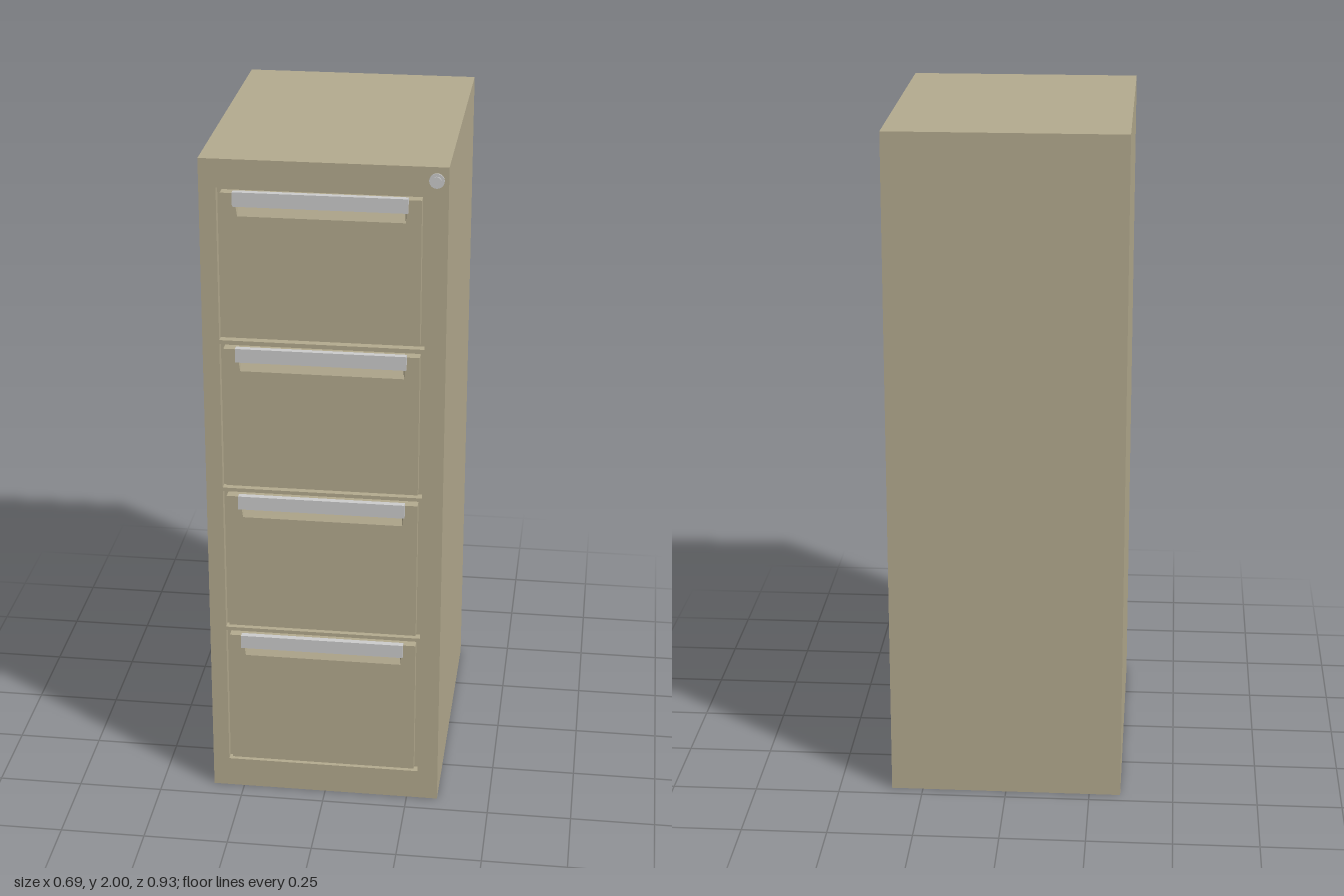
import * as THREE from 'three';

const paint = new THREE.MeshStandardMaterial({ color: 0xb3aa8e, flatShading: true });
const pocketPaint = new THREE.MeshStandardMaterial({ color: 0xb3aa8e, flatShading: true, side: THREE.DoubleSide });
const metal = new THREE.MeshStandardMaterial({ color: 0xcccccc });

const HALF_W = 0.343, BACK = -0.465, FACE = 0.443, PANEL = 0.449, INNER = 0.418;
const DRAWERS = 4, PITCH = 0.459, FIRST_TOP = 1.918;
const MID = -0.006; // drawers sit slightly off centre

function mesh(name, geometry, material, x = 0, y = 0, z = 0) {
  const m = new THREE.Mesh(geometry, material);
  m.name = name;
  m.position.set(x, y, z);
  return m;
}

function polygon(points, Type = THREE.Shape) {
  return new Type(points.map(([x, y]) => new THREE.Vector2(x, y)));
}

const rect = (x0, x1, y0, y1) => [[x0, y0], [x1, y0], [x1, y1], [x0, y1]];

function plate(outline, holes, depth) {
  const shape = polygon(outline);
  holes.forEach((h) => shape.holes.push(polygon(h.slice().reverse(), THREE.Path)));
  return new THREE.ExtrudeGeometry(shape, { depth, bevelEnabled: false });
}

// Finger pocket: a sloping floor, two tapered ends and a ceiling
function pocketGeometry([bl, br, tr, tl], depth) {
  const deepL = [tl[0] + 0.011, tl[1], -depth], deepR = [tr[0] - 0.011, tr[1], -depth];
  const corners = [[...bl, 0], [...br, 0], [...tr, 0], [...tl, 0], deepL, deepR];
  const g = new THREE.BufferGeometry();
  g.setAttribute('position', new THREE.Float32BufferAttribute(corners.flat(), 3));
  g.setIndex([0, 1, 5, 0, 5, 4, 0, 4, 3, 1, 2, 5, 3, 4, 5, 3, 5, 2]);
  const flat = g.toNonIndexed();
  flat.computeVertexNormals();
  return flat;
}

// One drawer, measured down from the top of its opening
function createDrawer() {
  const drawer = new THREE.Group();
  drawer.name = 'drawer';
  const mouth = [[-0.23, -0.078], [0.234, -0.078], [0.237, -0.025], [-0.237, -0.025]];
  drawer.add(
    mesh('drawerFront', plate(rect(-0.277, 0.277, -0.436, -0.012), [mouth], PANEL - INNER), paint, 0, 0, INNER),
    mesh('fingerPocket', pocketGeometry(mouth, 0.028), pocketPaint, 0, 0, PANEL),
    mesh('handle', new THREE.BoxGeometry(0.482, 0.041, 0.018), metal, 0, -0.025, 0.456),
  );
  return drawer;
}

export function createModel() {
  const model = new THREE.Group();
  model.name = 'filingCabinet';

  // Cabinet body and front frame with drawer openings
  const depth = INNER - BACK;
  model.add(mesh('cabinetBody', new THREE.BoxGeometry(HALF_W * 2, 2, depth), paint, 0, 1, BACK + depth / 2));
  const openings = [];
  for (let i = 0; i < DRAWERS; i++) {
    const top = FIRST_TOP - i * PITCH;
    openings.push(rect(MID - 0.289, MID + 0.289, top - 0.448, top));
    const drawer = createDrawer();
    drawer.position.set(MID, top, 0);
    model.add(drawer);
  }
  model.add(mesh('frontFrame', plate(rect(-HALF_W, HALF_W, 0, 2), openings, FACE - INNER), paint, 0, 0, INNER));

  // Lock in the top corner: collar and cylinder core
  const lock = new THREE.Group();
  lock.name = 'lock';
  lock.position.set(0.31, 1.962, FACE);
  [['lockCollar', 0.021, 0.005], ['lockCore', 0.013, 0.009]].forEach(([name, r, d]) => {
    const disc = new THREE.CylinderGeometry(r, r, d, 24).rotateX(Math.PI / 2);
    lock.add(mesh(name, disc, metal, 0, 0, d / 2));
  });
  model.add(lock);
  return model;
}
